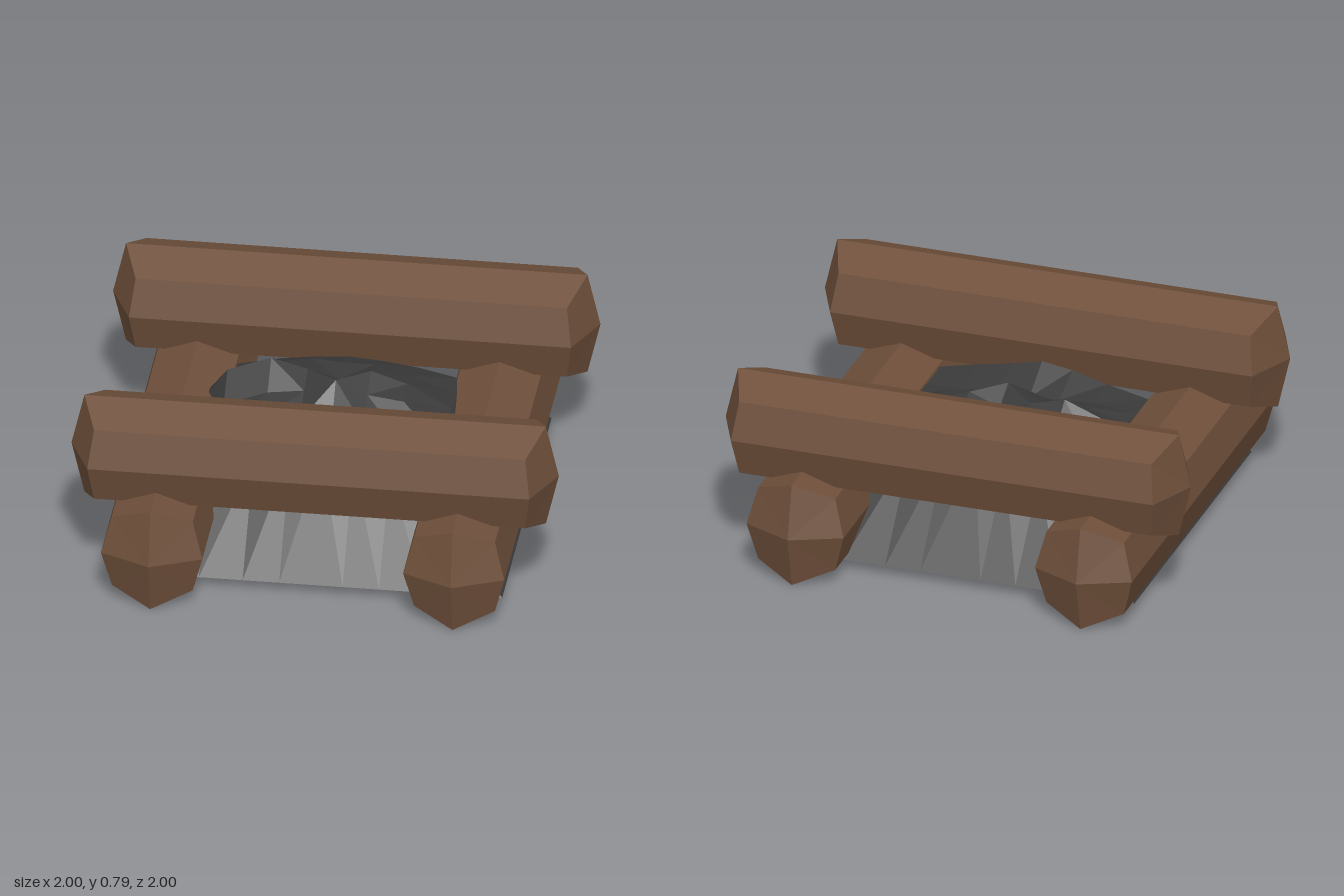
import * as THREE from 'three';

const wood = new THREE.MeshStandardMaterial({ color: 0x6e4f3a, flatShading: true });
const ash = new THREE.MeshStandardMaterial({ color: 0x3a3a3a, flatShading: true });

// Eight-sided log along z, its ends drawn out to a vertical ridge
function logGeometry() {
  const g = new THREE.CylinderGeometry(1, 1, 2, 8).rotateX(Math.PI / 2);
  const p = g.attributes.position;
  for (let i = 0; i < p.count; i++) {
    const x = p.getX(i), y = p.getY(i), u = Math.abs(x), v = Math.abs(y);
    let reach = 0.885, width = 0.235;
    if (u < 0.1) reach = v < 0.1 ? 1 : 0.947;
    else if (u > 0.9) { reach = 0.907; width = 0.208; }
    p.setXYZ(i, x * width, y * 0.227, Math.sign(p.getZ(i)) * reach);
  }
  return g;
}

// Ash heap: a height grid sloping down to a flat rectangular base
function ashGeometry() {
  const xs = [-0.79, -0.46, -0.28, -0.13, 0, 0.13, 0.28, 0.46, 0.785];
  const zs = [-0.74, -0.43, -0.26, -0.12, -0.01, 0.13, 0.25, 0.41, 0.735];
  const heights = [
    [0.38, 0.42, 0.44, 0.45, 0.44, 0.42, 0.38],
    [0.41, 0.50, 0.53, 0.52, 0.52, 0.48, 0.40],
    [0.53, 0.60, 0.56, 0.52, 0.57, 0.52, 0.42],
    [0.43, 0.50, 0.52, 0.58, 0.52, 0.50, 0.41],
    [0.40, 0.45, 0.46, 0.42, 0.46, 0.41, 0.38],
    [0.39, 0.41, 0.40, 0.39, 0.41, 0.38, 0.38],
    [0.38, 0.42, 0.46, 0.48, 0.45, 0.42, 0.38],
  ];
  const n = xs.length, pos = [], index = [];
  zs.forEach((z, j) => xs.forEach((x, i) => pos.push(x, heights[j - 1]?.[i - 1] ?? 0.045, z)));
  for (let j = 0; j < n - 1; j++) {
    for (let i = 0; i < n - 1; i++) {
      const a = j * n + i, b = a + 1, c = a + n, d = c + 1;
      if ((i < 4) === (j < 4)) index.push(a, c, d, a, d, b);
      else index.push(a, c, b, b, c, d);
    }
  }
  // underside
  const A = 0, B = n - 1, C = n * (n - 1), D = n * n - 1;
  index.push(A, B, D, A, D, C);
  const g = new THREE.BufferGeometry();
  g.setAttribute('position', new THREE.Float32BufferAttribute(pos, 3));
  g.setIndex(index);
  const flat = g.toNonIndexed();
  flat.computeVertexNormals();
  return flat;
}

export function createModel() {
  const group = new THREE.Group();
  const geometry = logGeometry();
  const addLog = (name, x, y, z, turn) => {
    const log = new THREE.Mesh(geometry, wood);
    log.name = name;
    log.position.set(x, y, z);
    log.rotation.y = turn;
    group.add(log);
  };

  // two logs on the ground, two laid across them
  addLog('lowerLogLeft', 0.61, 0.23, 0, 0);
  addLog('lowerLogRight', -0.63, 0.23, 0, 0);
  addLog('upperLogFront', 0, 0.562, 0.605, Math.PI / 2);
  addLog('upperLogBack', 0, 0.562, -0.637, Math.PI / 2);

  const heap = new THREE.Mesh(ashGeometry(), ash);
  heap.name = 'ashHeap';
  group.add(heap);
  return group;
}
